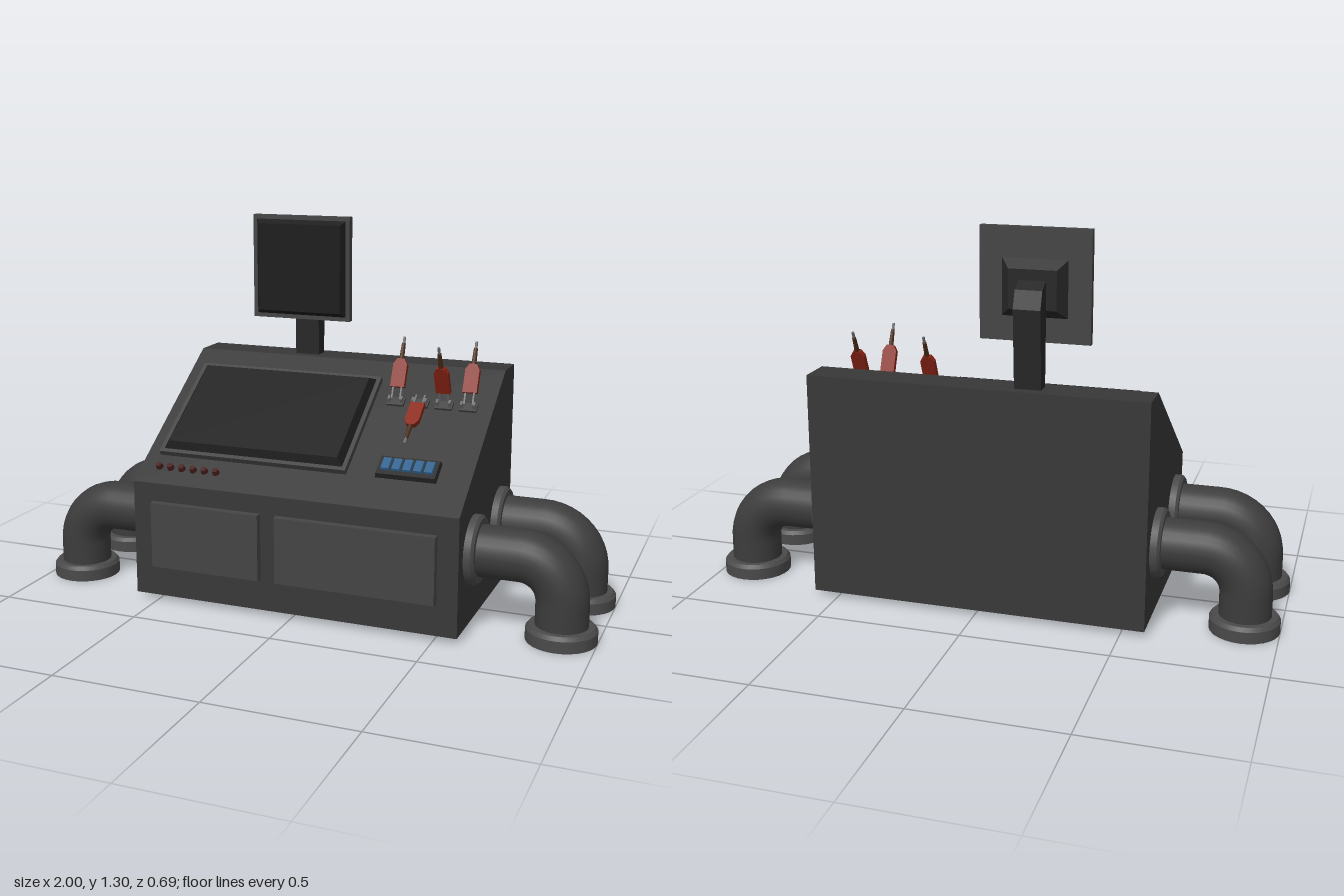
import * as THREE from 'three';

const mat = (color) => new THREE.MeshStandardMaterial({ color });
const M = {
  body: mat(0x383838), door: mat(0x444444), pipe: mat(0x3c3c3c), flange: mat(0x4a4a4a),
  rim: mat(0x444444), screen: mat(0x1a1a1a), dark: mat(0x262626), steel: mat(0x707070),
  red: mat(0x8a2414), brown: mat(0x4a2c18), button: mat(0x451c1c), blue: mat(0x2c5f8c),
};

function add(parent, name, geometry, material, x = 0, y = 0, z = 0) {
  const mesh = new THREE.Mesh(geometry, material);
  mesh.name = name;
  mesh.position.set(x, y, z);
  parent.add(mesh);
  return mesh;
}

function group(parent, name) {
  const g = new THREE.Group();
  g.name = name;
  parent.add(g);
  return g;
}

const box = (w, h, d) => new THREE.BoxGeometry(w, h, d);

// Box standing on y = 0 whose top is inset on all four sides
function frustum(w, h, d, inset) {
  const g = box(w, h, d).translate(0, h / 2, 0);
  const p = g.attributes.position;
  for (let i = 0; i < p.count; i++) {
    if (p.getY(i) < h / 2) continue;
    p.setX(i, p.getX(i) - Math.sign(p.getX(i)) * inset);
    p.setZ(i, p.getZ(i) - Math.sign(p.getZ(i)) * inset);
  }
  g.computeVertexNormals();
  return g;
}

// Side profile of [z, y] points, extruded across x
function sideExtrude(points, width) {
  const shape = new THREE.Shape(points.map(([z, y]) => new THREE.Vector2(z, y)));
  return new THREE.ExtrudeGeometry(shape, { depth: width, bevelEnabled: false })
    .translate(0, 0, -width / 2).rotateY(-Math.PI / 2);
}

// Rimmed display lying flat, facing +y
function makeScreen(parent, name, w, d, base, rise, inset) {
  const g = group(parent, name);
  add(g, 'screenRim', box(w, base, d), M.rim, 0, base / 2, 0);
  add(g, 'screenGlass', frustum(w - 0.03, rise, d - 0.03, inset), M.screen, 0, base, 0);
  return g;
}

// Elbow pipe with wall collar and floor foot; side = +1 or -1
function makePipe(parent, side, z) {
  const g = group(parent, 'elbowPipe');
  const V = (x, y) => new THREE.Vector3(x * side, y, 0);
  const R = 0.14, cx = 0.743, cy = 0.13, k = 0.5523 * R;
  const path = new THREE.CurvePath();
  path.add(new THREE.LineCurve3(V(0.57, cy + R), V(cx, cy + R)));
  path.add(new THREE.CubicBezierCurve3(V(cx, cy + R), V(cx + k, cy + R), V(cx + R, cy + k), V(cx + R, cy)));
  path.add(new THREE.LineCurve3(V(cx + R, cy), V(cx + R, 0.02)));
  add(g, 'pipe', new THREE.TubeGeometry(path, 24, 0.087, 24), M.pipe);
  const ring = new THREE.LatheGeometry(
    [[0, 0], [0.117, 0], [0.117, 0], [0.117, 0.04], [0.117, 0.04], [0.107, 0.053], [0.107, 0.053], [0, 0.053]]
      .map(([r, y]) => new THREE.Vector2(r, y)), 28);
  add(g, 'pipeFoot', ring, M.flange, side * (cx + R), 0, 0);
  const collar = add(g, 'wallCollar', ring, M.flange, side * 0.575, cy + R, 0);
  collar.rotation.z = -side * Math.PI / 2;
  collar.scale.y = 0.7;
  g.position.z = z;
}

// Knife switch lever swinging about its lower end
function makeLever(parent, x, tilt) {
  const g = group(parent, 'lever');
  for (const s of [-1, 1]) add(g, 'leverProng', box(0.006, 0.05, 0.008), M.steel, s * 0.015, 0.015, 0);
  const grip = new THREE.Shape([[-0.025, 0.03], [0.025, 0.03], [0.025, 0.11], [0.013, 0.13],
    [-0.013, 0.13], [-0.025, 0.11]].map(([a, b]) => new THREE.Vector2(a, b)));
  add(g, 'leverGrip', new THREE.ExtrudeGeometry(grip, { depth: 0.018, bevelEnabled: false }), M.red, 0, 0, -0.009);
  add(g, 'leverNeck', new THREE.CylinderGeometry(0.007, 0.009, 0.058, 8), M.brown, 0, 0.157, 0);
  add(g, 'leverTip', new THREE.CylinderGeometry(0.005, 0.005, 0.024, 8), M.steel, 0, 0.197, 0);
  g.position.set(x, 0.71, -0.06);
  g.rotation.x = tilt;
}

export function createModel() {
  const model = new THREE.Group();
  model.name = 'controlConsole';

  // Cabinet with sloped desk
  add(model, 'cabinet', sideExtrude(
    [[0.33, 0.02], [0.33, 0.424], [-0.22, 0.793], [-0.345, 0.793], [-0.345, 0.02]], 1.16), M.body);

  // Front doors
  for (const [x0, x1] of [[-0.51, -0.105], [-0.05, 0.51]]) {
    const door = add(model, 'frontDoor', frustum(x1 - x0, 0.022, 0.235, 0.003), M.door, (x0 + x1) / 2, 0.243, 0.328);
    door.rotation.x = Math.PI / 2;
  }

  // Desk: local y is the slope normal, local -z runs up the slope
  const desk = group(model, 'desk');
  desk.position.set(0, 0.424, 0.33);
  desk.rotation.x = Math.atan2(0.369, 0.55);
  makeScreen(desk, 'deskScreen', 0.69, 0.44, 0.02, 0.023, 0.018).position.set(-0.185, 0, -0.348);
  for (let i = 0; i < 6; i++) {
    add(desk, 'roundButton', new THREE.CylinderGeometry(0.01, 0.013, 0.016, 12), M.button, -0.51 + i * 0.043, 0.008, -0.073);
  }

  // Blue key panel
  add(desk, 'keyPanel', frustum(0.21, 0.018, 0.085, 0.004), M.dark, 0.365, 0, -0.172);
  for (let i = 0; i < 5; i++) {
    add(desk, 'blueKey', frustum(0.031, 0.008, 0.05, 0.002), M.blue, 0.365 + (i - 2) * 0.037, 0.018, -0.175);
  }

  // Lever mounts and levers
  [[0.238, -0.42], [0.324, 2.18], [0.41, 0.4], [0.495, -0.42]].forEach(([x, tilt]) => {
    add(desk, 'leverPlate', box(0.06, 0.008, 0.035), M.rim, x, 0.004, -0.47);
    for (const s of [-1, 1]) add(desk, 'leverClip', box(0.008, 0.026, 0.018), M.steel, x + s * 0.022, 0.013, -0.47);
    makeLever(model, x, tilt);
  });

  // Monitor on its bent arm
  const monitor = group(model, 'monitor');
  monitor.position.x = -0.173;
  const panel = makeScreen(monitor, 'monitorScreen', 0.37, 0.37, 0.026, 0.021, 0.014);
  panel.position.set(0, 1.116, -0.226);
  panel.rotation.x = Math.PI / 2;
  const mount = add(monitor, 'monitorMount', frustum(0.22, 0.034, 0.19, 0.03), M.dark, 0, 1.107, -0.225);
  mount.rotation.x = -Math.PI / 2;
  add(monitor, 'monitorArm', sideExtrude(
    [[-0.259, 0.78], [-0.253, 1.14], [-0.303, 1.114], [-0.324, 1.055], [-0.307, 0.78]], 0.09), M.dark);

  // Two pipes on each side
  for (const side of [-1, 1]) for (const z of [0.164, -0.18]) makePipe(model, side, z);

  return model;
}
